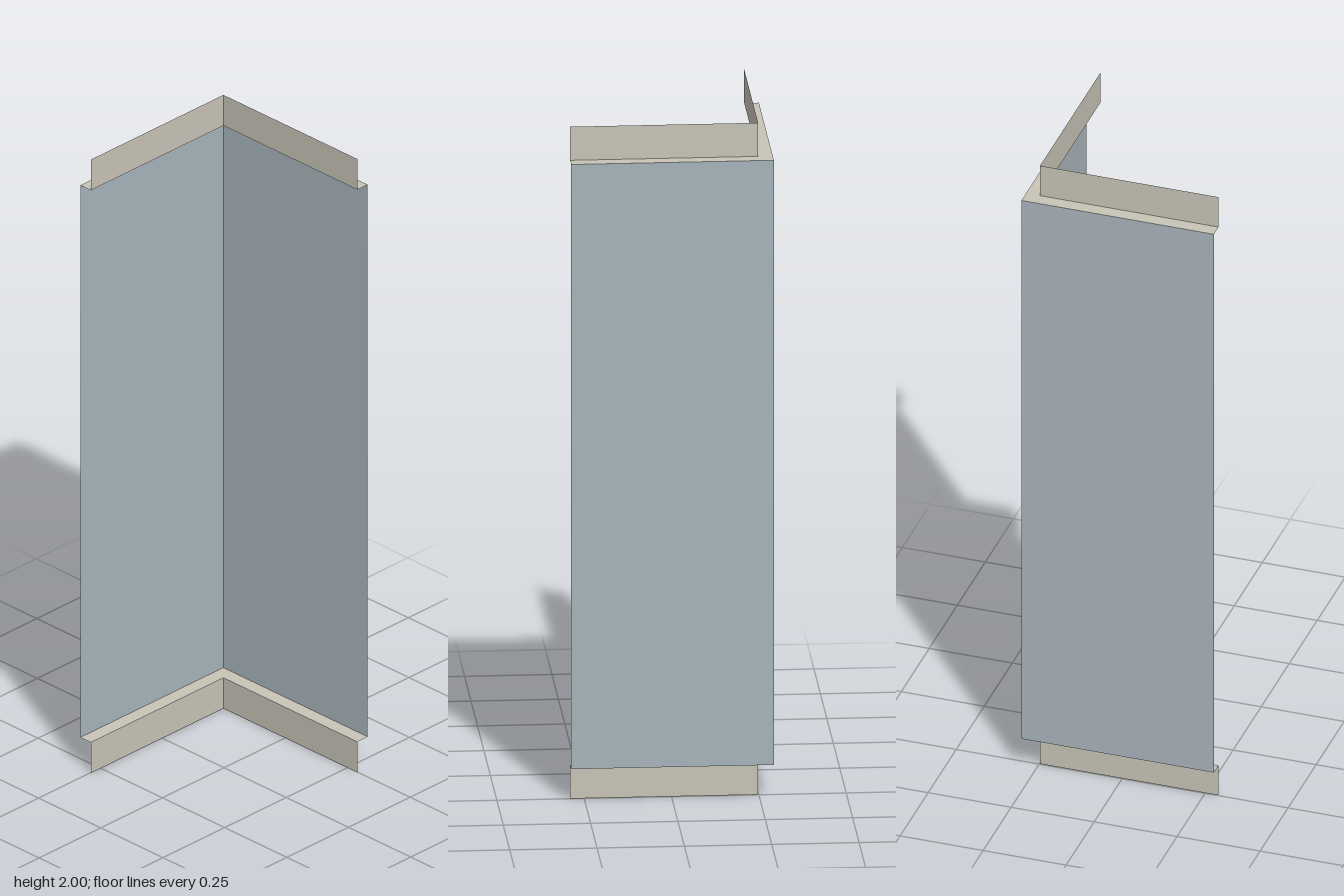
import * as THREE from 'three';

const END = 0.29;      // free ends and outer corner distance
const INNER = -0.248;  // corner of the inset flanges
const LOW = 0.1, HIGH = 1.9, TOP = 2;

export function createModel() {
  const blue = new THREE.MeshStandardMaterial({ color: 0xa8b5bc, side: THREE.DoubleSide });
  blue.name = 'blue grey panel';
  const stone = new THREE.MeshStandardMaterial({ color: 0xc8c4b7, side: THREE.DoubleSide });
  stone.name = 'beige trim';

  const model = new THREE.Group();
  model.name = 'cornerPanel';

  // Two upright sheets meeting at a right angle at (corner, corner)
  function addCornerSheet(name, material, corner, y0, y1) {
    const group = new THREE.Group();
    group.name = name;
    const geometry = new THREE.PlaneGeometry(END - corner, y1 - y0);
    const mid = (corner + END) / 2, y = (y0 + y1) / 2;

    const back = new THREE.Mesh(geometry, material);
    back.name = name + 'Back';
    back.position.set(mid, y, corner);

    const side = new THREE.Mesh(geometry, material);
    side.name = name + 'Side';
    side.rotation.y = Math.PI / 2;
    side.position.set(corner, y, mid);

    group.add(back, side);
    model.add(group);
  }

  addCornerSheet('wallPanel', blue, -END, LOW, HIGH);
  addCornerSheet('bottomFlange', stone, INNER, 0, LOW);
  addCornerSheet('topFlange', stone, INNER, HIGH, TOP);

  // Flat L-shaped ledges joining the panel to the inset flanges
  const outline = new THREE.Shape([
    [-END, -END], [END, -END], [END, INNER], [INNER, INNER], [INNER, END], [-END, END],
  ].map(([x, z]) => new THREE.Vector2(x, -z)));
  const ledgeGeometry = new THREE.ShapeGeometry(outline).rotateX(-Math.PI / 2);
  for (const [name, y] of [['bottomLedge', LOW], ['topLedge', HIGH]]) {
    const ledge = new THREE.Mesh(ledgeGeometry, stone);
    ledge.name = name;
    ledge.position.y = y;
    model.add(ledge);
  }

  return model;
}
